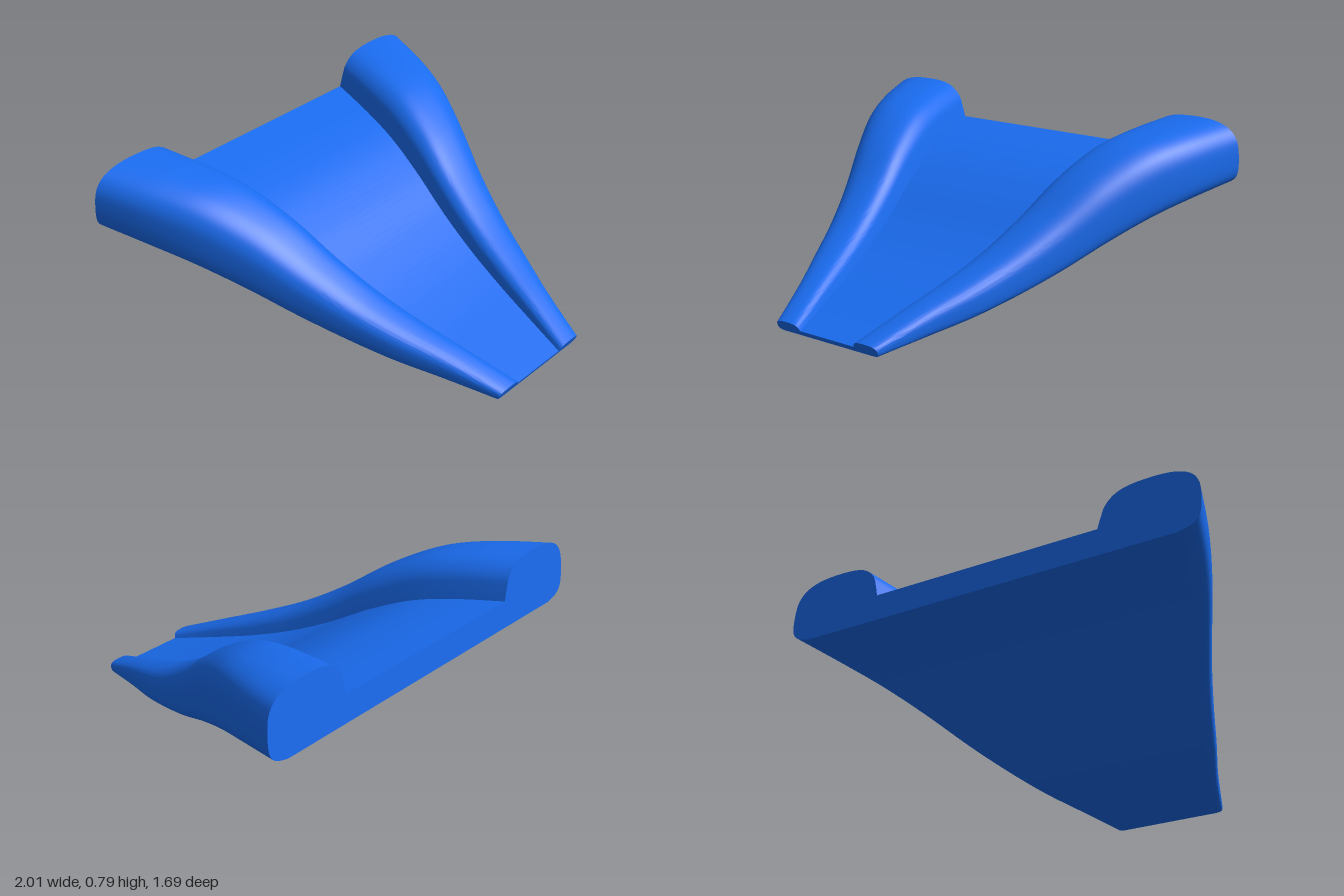
import * as THREE from 'three';
import { toCreasedNormals } from 'three/addons/utils/BufferGeometryUtils.js';

// Stations from front to back: z, underside height, rail top height, outer half width
const STATIONS = [
  [0.833, 0, 0.05, 0.28], [0.6, 0.04, 0.148, 0.37], [0.4, 0.083, 0.23, 0.46],
  [0.2, 0.14, 0.325, 0.545], [0, 0.212, 0.45, 0.635], [-0.2, 0.303, 0.598, 0.735],
  [-0.4, 0.385, 0.705, 0.835], [-0.6, 0.442, 0.757, 0.92], [-0.833, 0.49, 0.79, 1.0],
];
const RINGS = 64;

// Rail outline from underside round to floor: u runs inner to outer, v from underside to top
const RAIL = [
  [0.78, 0], [0.93, 0.07], [1, 0.23], [1, 0.58], [0.96, 0.77], [0.87, 0.9], [0.71, 0.98],
  [0.5, 1], [0.3, 0.98], [0.165, 0.91], [0.07, 0.77], [0.03, 0.6], [0, 0.42],
];

function splineThrough(pairs) {
  return new THREE.SplineCurve(pairs.map(([a, b]) => new THREE.Vector2(a, b)));
}

function createSlideGeometry() {
  const rail = splineThrough(RAIL).getPoints(48);
  const [zs, lows, highs, outers] = [0, 1, 2, 3].map((k) => splineThrough(STATIONS.map((s, i) => [i, s[k]])));

  // One closed cross-section, counter-clockwise as seen from the front
  function ring(t) {
    const [z, low, high, outer] = [zs, lows, highs, outers].map((c) => c.getPoint(t).y);
    const inner = THREE.MathUtils.mapLinear(z, 0.833, -0.833, 0.15, 0.545);
    const half = rail.map((p) => new THREE.Vector3(
      inner + (outer - inner) * p.x,
      low + (high - low) * p.y,
      z + 0.022 * (p.y - 0.5),
    ));
    const mirrored = half.map((p) => new THREE.Vector3(-p.x, p.y, p.z)).reverse();
    return [...half, ...mirrored];
  }

  const rings = Array.from({ length: RINGS + 1 }, (_, j) => ring(j / RINGS));
  const n = rings[0].length;
  const index = [];
  for (let j = 0; j < RINGS; j++) {
    for (let i = 0; i < n; i++) {
      const a = j * n + i, b = j * n + (i + 1) % n;
      index.push(a, a + n, b, b, a + n, b + n);
    }
  }

  // Flat ends
  const cap = (points, base, flip) => {
    const outline = points.map((p) => new THREE.Vector2(p.x, p.y));
    for (const [a, b, c] of THREE.ShapeUtils.triangulateShape(outline, [])) {
      index.push(base + a, base + (flip ? c : b), base + (flip ? b : c));
    }
  };
  cap(rings[0], 0, false);
  cap(rings[RINGS], RINGS * n, true);

  const geometry = new THREE.BufferGeometry().setFromPoints(rings.flat());
  geometry.setIndex(index);
  return toCreasedNormals(geometry, 0.7);
}

export function createModel() {
  const group = new THREE.Group();
  group.name = 'slide';
  const material = new THREE.MeshStandardMaterial({ color: 0x1a6cf0 });
  const chute = new THREE.Mesh(createSlideGeometry(), material);
  chute.name = 'chuteWithSideRails';
  group.add(chute);
  return group;
}
